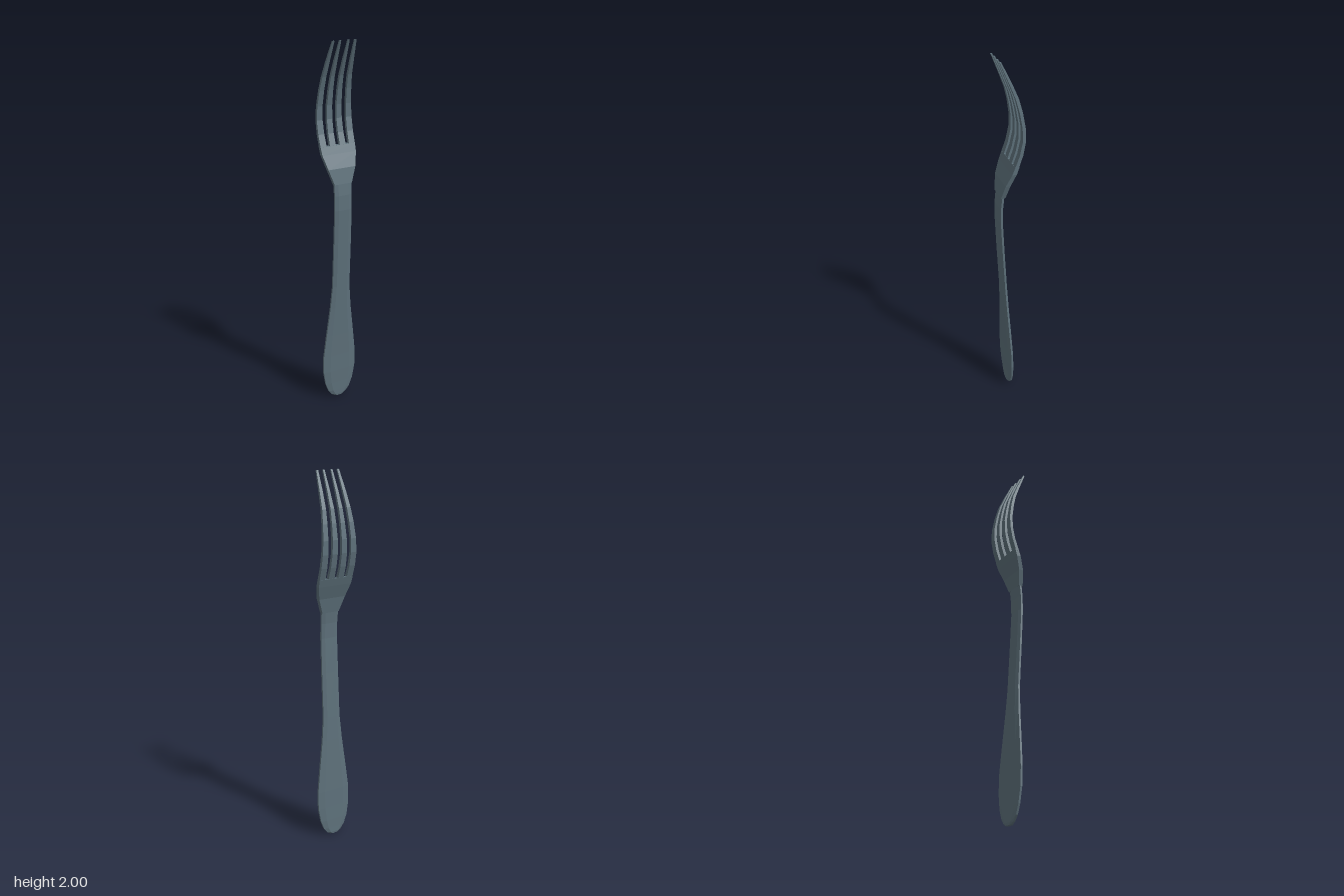
import * as THREE from 'three';

const steel = new THREE.MeshStandardMaterial({ color: 0x5d707a, flatShading: true });
steel.name = 'blue grey steel';

// Loft closed sections, each a counter-clockwise ring seen from above, with capped ends
function loft(name, rings) {
  const n = rings[0].length, pos = rings.flat(2), idx = [];
  for (let r = 0; r < rings.length - 1; r++) {
    for (let i = 0; i < n; i++) {
      const a = r * n + i, b = r * n + (i + 1) % n;
      idx.push(a, b, b + n, a, b + n, a + n);
    }
  }
  const top = (rings.length - 1) * n;
  for (let i = 1; i < n - 1; i++) {
    idx.push(0, i + 1, i, top, top + i, top + i + 1);
  }
  const geo = new THREE.BufferGeometry();
  geo.setAttribute('position', new THREE.Float32BufferAttribute(pos, 3));
  geo.setIndex(idx);
  const flat = geo.toNonIndexed();
  flat.computeVertexNormals();
  const mesh = new THREE.Mesh(flat, steel);
  mesh.name = name;
  return mesh;
}

// Section with flat front and back faces and chamfered sides
function chamfered(y, z, w, t) {
  const f = w * 0.6, e = t * 0.45;
  return [[-w, y, z + e], [-f, y, z + t], [f, y, z + t], [w, y, z + e],
    [w, y, z - e], [f, y, z - t], [-f, y, z - t], [-w, y, z - e]];
}

// Plain rectangular section from x0 to x1
function box(y, z, x0, x1, t) {
  return [[x0, y, z + t], [x1, y, z + t], [x1, y, z - t], [x0, y, z - t]];
}

export function createModel() {
  const fork = new THREE.Group();
  fork.name = 'fork';

  // Spoon-shaped grip and slim neck: y, z, half width, half thickness
  fork.add(loft('handle', [
    [0, -0.003, 0.025, 0.010], [0.012, -0.003, 0.043, 0.012], [0.04, -0.002, 0.065, 0.012],
    [0.09, -0.001, 0.084, 0.012], [0.17, 0.002, 0.098, 0.012], [0.27, 0.005, 0.098, 0.012],
    [0.4, 0.01, 0.083, 0.012], [0.57, 0.017, 0.062, 0.012], [0.7, 0.023, 0.051, 0.012],
    [0.95, 0.037, 0.05, 0.012], [1.14, 0.046, 0.049, 0.012], [1.22, 0.044, 0.049, 0.012],
    [1.28, 0.038, 0.05, 0.012],
  ].map(s => chamfered(...s))));

  // Flared shoulders joining the neck to the tines
  fork.add(loft('head', [
    [1.28, 0.038, 0.05, 0.012], [1.36, 0.023, 0.078, 0.013],
    [1.43, -0.004, 0.097, 0.012], [1.47, -0.018, 0.099, 0.011],
  ].map(([y, z, w, t]) => box(y, z, -w, w, t))));

  // Curve shared by all tines: y, z, half thickness
  const bend = [[1.46, -0.014, 0.010], [1.53, -0.038, 0.009], [1.6, -0.052, 0.008],
    [1.67, -0.052, 0.008], [1.75, -0.039, 0.008], [1.82, -0.021, 0.008],
    [1.9, 0.011, 0.007], [2, 0.055, 0.004]];
  // Inner and outer x edges at the same heights
  const tines = {
    inner: [[0.011, 0.046], [0.012, 0.044], [0.012, 0.043], [0.012, 0.041],
      [0.013, 0.038], [0.014, 0.035], [0.016, 0.032], [0.018, 0.028]],
    outer: [[0.064, 0.099], [0.066, 0.1], [0.067, 0.1], [0.067, 0.096],
      [0.064, 0.09], [0.061, 0.083], [0.058, 0.076], [0.055, 0.066]],
  };
  for (const [kind, edges] of Object.entries(tines)) {
    for (const side of [1, -1]) {
      fork.add(loft(`${kind}${side > 0 ? 'Left' : 'Right'}Tine`, bend.map(([y, z, t], i) => {
        const [a, b] = edges[i];
        return side > 0 ? box(y, z, a, b, t) : box(y, z, -b, -a, t);
      })));
    }
  }
  return fork;
}
